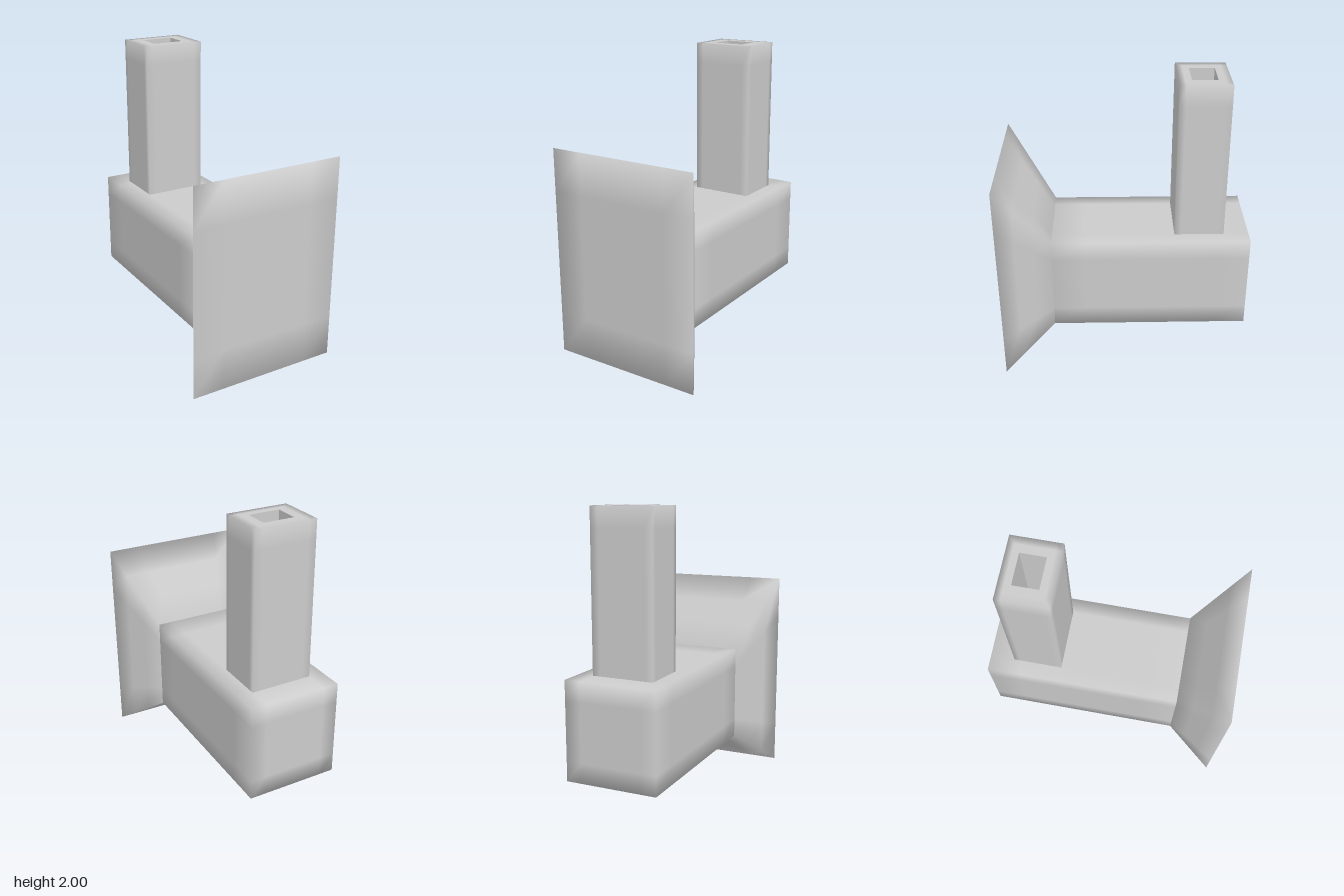
import * as THREE from 'three';
import { mergeVertices } from 'three/addons/utils/BufferGeometryUtils.js';

const material = new THREE.MeshStandardMaterial({ color: 0xcccccc });
const innerMaterial = new THREE.MeshStandardMaterial({ color: 0xcccccc, side: THREE.BackSide });

// Drops every triangle whose centre passes the test.
function removeFaces(geometry, test) {
  const pos = geometry.attributes.position;
  const old = geometry.index.array;
  const kept = [];
  const centre = new THREE.Vector3(), corner = new THREE.Vector3();
  for (let i = 0; i < old.length; i += 3) {
    const tri = [old[i], old[i + 1], old[i + 2]];
    centre.set(0, 0, 0);
    tri.forEach(k => centre.add(corner.fromBufferAttribute(pos, k)));
    if (!test(centre.divideScalar(3))) kept.push(...tri);
  }
  geometry.setIndex(kept);
  return geometry;
}

// Joins the sides of a divided box so that the shading rolls over its edges.
function smooth(geometry) {
  geometry.deleteAttribute('normal');
  geometry.deleteAttribute('uv');
  const merged = mergeVertices(geometry, 1e-4);
  merged.computeVertexNormals();
  return merged;
}

export function createModel() {
  const model = new THREE.Group();
  const add = (name, geometry, x, y, z, mat = material) => {
    const mesh = new THREE.Mesh(geometry, mat);
    mesh.name = name;
    mesh.position.set(x, y, z);
    model.add(mesh);
  };

  // Long horizontal body
  add('body', smooth(new THREE.BoxGeometry(0.635, 0.67, 1.345, 6, 5, 6)), 0, 0.595, -0.17);

  // Flared front: a box whose section widens towards +z
  const flare = new THREE.BoxGeometry(1, 1, 0.34, 5, 5, 3);
  const p = flare.attributes.position;
  for (let i = 0; i < p.count; i++) {
    const t = p.getZ(i) / 0.34 + 0.5;
    const bottom = THREE.MathUtils.lerp(0.26, 0.005, t);
    const top = THREE.MathUtils.lerp(0.93, 1.43, t);
    p.setX(i, p.getX(i) * THREE.MathUtils.lerp(0.635, 1.067, t));
    p.setY(i, THREE.MathUtils.lerp(bottom, top, p.getY(i) + 0.5));
  }
  add('frontFlare', smooth(flare), 0, 0, 0.67);

  // Chimney, sunk into the body, with an opening in its top
  const width = 0.427, height = 1.34, depth = 0.336;
  const stack = smooth(new THREE.BoxGeometry(width, height, depth, 8, 10, 8));
  removeFaces(stack, c => c.y > height / 2 - 1e-4
    && Math.abs(c.x) < width / 4 && Math.abs(c.z) < depth / 4);
  add('chimney', stack, 0, 2 - height / 2, -0.504);

  // Flue: inner walls and floor
  const flueDepth = 1.07;
  const flue = removeFaces(new THREE.BoxGeometry(width / 2, flueDepth, depth / 2),
    c => c.y > flueDepth / 2 - 1e-4);
  add('chimneyFlue', flue, 0, 2 - flueDepth / 2, -0.504, innerMaterial);

  return model;
}
